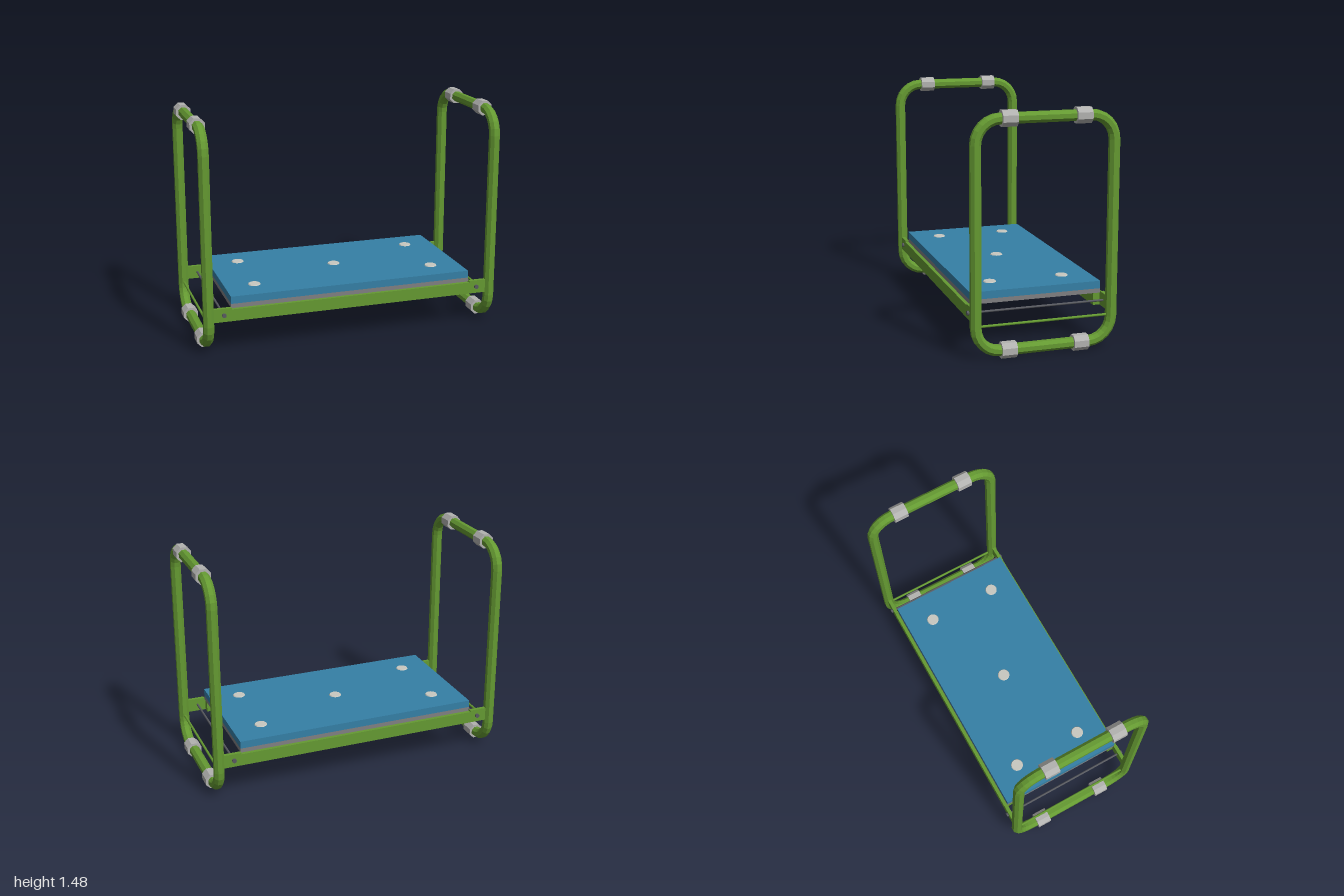
import * as THREE from 'three';

const mat = (name, color) => {
  const m = new THREE.MeshStandardMaterial({ color });
  m.name = name;
  return m;
};

// Faceted normals without touching the material
function flat(geo) {
  const g = geo.index ? geo.toNonIndexed() : geo;
  g.computeVertexNormals();
  return g;
}

const FRAME_X = 0.9525, LOW = 0.0475, HIGH = 1.4345;

// Rounded rectangular loop of octagonal tube in the z-y plane
function loopFrame(halfZ, halfY, bend, apothem) {
  const sides = 8, steps = 6, pos = [], idx = [];
  const r = apothem / Math.cos(Math.PI / sides);
  const corners = [[1, 1], [-1, 1], [-1, -1], [1, -1]];
  corners.forEach(([sz, sy], c) => {
    for (let i = 0; i <= steps; i++) {
      const t = (c + i / steps) * Math.PI / 2;
      for (let j = 0; j < sides; j++) {
        const p = (j + 0.5) * 2 * Math.PI / sides;
        const d = bend + r * Math.cos(p);
        pos.push(r * Math.sin(p), sy * (halfY - bend) + d * Math.sin(t), sz * (halfZ - bend) + d * Math.cos(t));
      }
    }
  });
  const rings = pos.length / 3 / sides;
  for (let i = 0; i < rings; i++) {
    for (let j = 0; j < sides; j++) {
      const n = ((i + 1) % rings) * sides, k = (j + 1) % sides;
      const a = i * sides + j, b = i * sides + k, c = n + k, d = n + j;
      idx.push(a, b, c, a, c, d);
    }
  }
  const g = new THREE.BufferGeometry();
  g.setAttribute('position', new THREE.Float32BufferAttribute(pos, 3));
  g.setIndex(idx);
  return flat(g);
}

// Rectangular board with round holes, lying flat with its underside at y = 0
function board(halfX, halfZ, thick, holes) {
  const s = new THREE.Shape();
  s.moveTo(-halfX, -halfZ).lineTo(halfX, -halfZ).lineTo(halfX, halfZ).lineTo(-halfX, halfZ).closePath();
  for (const [x, z, r] of holes) {
    const h = new THREE.Path();
    h.absarc(x, -z, r, 0, Math.PI * 2, true);
    s.holes.push(h);
  }
  return new THREE.ExtrudeGeometry(s, { depth: thick, bevelEnabled: false, curveSegments: 16 }).rotateX(-Math.PI / 2);
}

const zRod = (r, length, sides) =>
  new THREE.CylinderGeometry(r, r, length, sides).rotateY(Math.PI / sides).rotateX(Math.PI / 2);

export function createModel() {
  const root = new THREE.Group();
  root.name = 'platformWithLoopFrames';
  const green = mat('green paint', 0x659a32);
  const blue = mat('blue mat', 0x3580a6);
  const grey = mat('grey board', 0x808082);
  const padGrey = mat('light grey sleeve', 0xb2b2b0);
  const capGrey = mat('pale cap', 0xc8c8c0);
  const steel = mat('dark steel', 0x585a60);
  const add = (name, geo, m, x = 0, y = 0, z = 0) => {
    const mesh = new THREE.Mesh(geo, m);
    mesh.name = name;
    mesh.position.set(x, y, z);
    root.add(mesh);
    return mesh;
  };

  // End frames with sleeves, lower crossbars and tie rods
  const frameGeo = loopFrame(0.429, (HIGH - LOW) / 2, 0.15, 0.0325);
  const sleeveGeo = flat(zRod(0.0475 / Math.cos(Math.PI / 8), 0.094, 8));
  const crossGeo = zRod(0.008, 0.85, 10);
  const tieGeo = zRod(0.007, 0.89, 10);
  const boltGeo = zRod(0.014, 0.014, 12);
  for (const sx of [-1, 1]) {
    add('endFrame', frameGeo, green, sx * FRAME_X, (LOW + HIGH) / 2, 0);
    add('lowerCrossbar', crossGeo, green, sx * FRAME_X, 0.205, 0);
    add('tieRod', tieGeo, steel, sx * 0.856, 0.265, 0);
    for (const sz of [-1, 1]) {
      add('bolt', boltGeo, steel, sx * 0.856, 0.265, sz * 0.449);
      for (const y of [LOW, HIGH]) add('sleeve', sleeveGeo, padGrey, sx * FRAME_X, y, sz * 0.228);
    }
  }

  // Side rails, stepped down slightly where the deck rests
  const railShape = new THREE.Shape();
  [[-0.935, 0.22], [0.935, 0.22], [0.935, 0.308], [0.806, 0.308], [0.806, 0.298],
    [-0.806, 0.298], [-0.806, 0.308], [-0.935, 0.308]].forEach(([x, y], i) =>
    i ? railShape.lineTo(x, y) : railShape.moveTo(x, y));
  const railGeo = new THREE.ExtrudeGeometry(railShape, { depth: 0.024, bevelEnabled: false }).translate(0, 0, -0.012);
  const bearerGeo = new THREE.BoxGeometry(1.6, 0.078, 0.044);
  for (const sz of [-1, 1]) {
    add('sideRail', railGeo, green, 0, 0, sz * 0.431);
    add('deckBearer', bearerGeo, green, 0, 0.259, sz * 0.399);
  }

  // Deck: drilled base board, padded top and plug caps
  const large = [[0, 0, 0.039]], small = [];
  for (const sx of [-1, 1]) {
    small.push([sx * 0.44, 0, 0.019], [0, sx * 0.24, 0.019]);
    for (const sz of [-1, 1]) {
      large.push([sx * 0.61, sz * 0.237, 0.039]);
      small.push([sx * 0.31, sz * 0.24, 0.019]);
    }
  }
  add('baseBoard', board(0.805, 0.42, 0.028, [...large, ...small]), grey, 0, 0.298, 0);
  add('topMat', board(0.805, 0.42, 0.048, large), blue, 0, 0.326, 0);
  const capGeo = new THREE.CylinderGeometry(0.037, 0.041, 0.006, 20);
  for (const [x, z] of large) add('plugCap', capGeo, capGrey, x, 0.377, z);

  return root;
}
